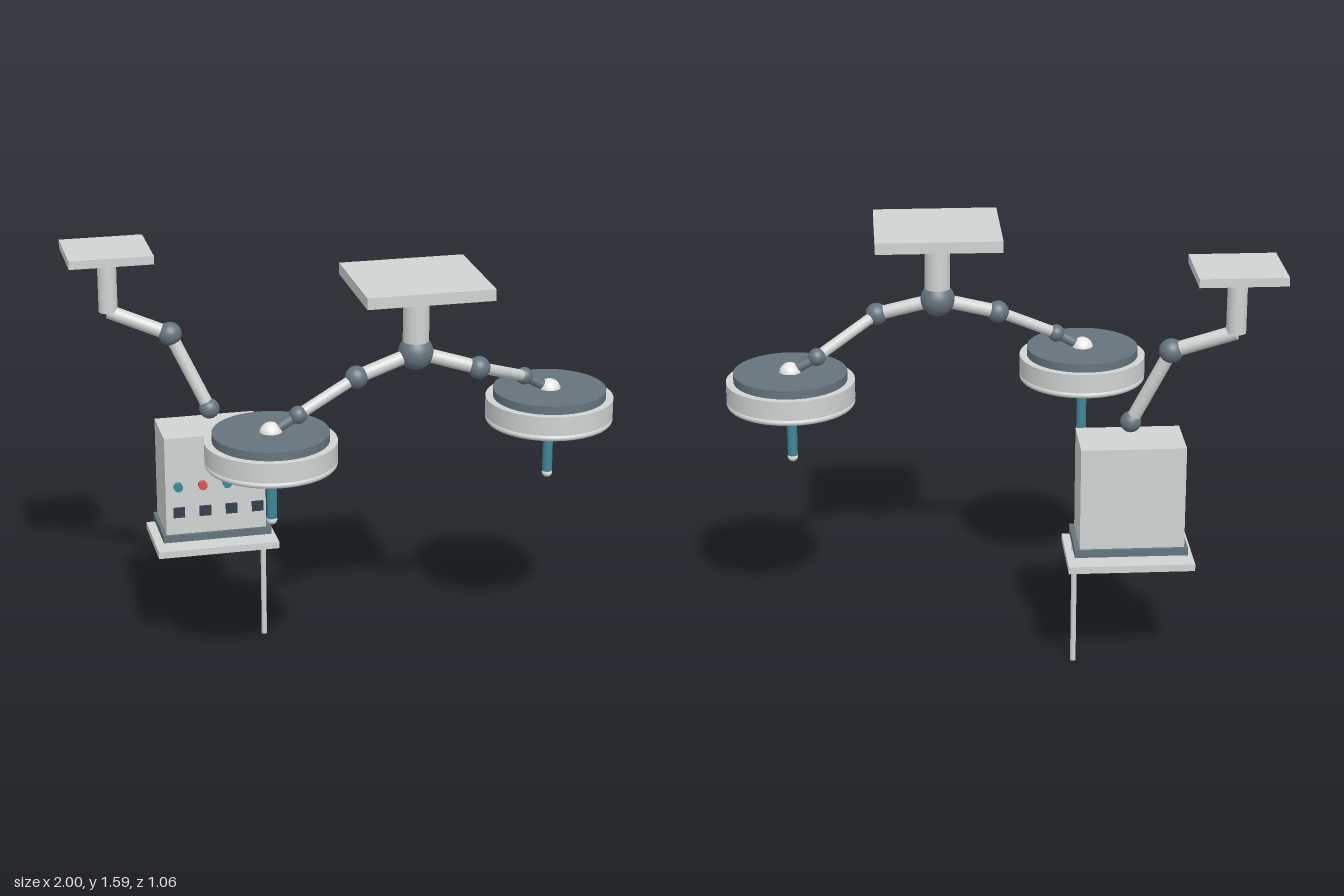
import * as THREE from 'three';

const mat = (name, color) => {
  const m = new THREE.MeshStandardMaterial({ color });
  m.name = name;
  return m;
};
const V = (x, y, z) => new THREE.Vector3(x, y, z);

export function createModel() {
  const panel = mat('light grey panel', 0xcfd3d1);
  const white = mat('white enamel', 0xe6e7e4);
  const slate = mat('slate joint', 0x66737c);
  const face = mat('dark lamp face', 0x6f7478);
  const teal = mat('teal grip', 0x3f8798);
  const red = mat('red button', 0xd9534f);
  const ink = mat('dark knob', 0x333f4b);

  const model = new THREE.Group();
  model.name = 'ceilingLampsAndControlUnit';

  const add = (parent, name, geo, material, p) => {
    const mesh = new THREE.Mesh(geo, material);
    mesh.name = name;
    mesh.position.copy(p);
    parent.add(mesh);
    return mesh;
  };
  const box = (parent, name, w, h, d, m, p) => add(parent, name, new THREE.BoxGeometry(w, h, d), m, p);
  const ball = (parent, name, r, m, p) => add(parent, name, new THREE.SphereGeometry(r, 28, 18), m, p);
  const disc = (parent, name, r, y0, y1, m, sides = 64) =>
    add(parent, name, new THREE.CylinderGeometry(r, r, y1 - y0, sides), m, V(0, (y0 + y1) / 2, 0));
  // Straight tube between two points
  const rod = (parent, name, a, b, r, m) => {
    const dir = b.clone().sub(a);
    const mesh = add(parent, name, new THREE.CylinderGeometry(r, r, dir.length(), 24), m,
      a.clone().add(b).multiplyScalar(0.5));
    mesh.quaternion.setFromUnitVectors(V(0, 1, 0), dir.normalize());
    return mesh;
  };

  // Lamp ceiling mount
  const mount = new THREE.Group();
  mount.name = 'lampMount';
  model.add(mount);
  const hub = V(0.2, 1.292, 0.203);
  box(mount, 'ceilingPlate', 0.47, 0.043, 0.443, panel, V(0.2, 1.56, 0.203));
  rod(mount, 'column', V(0.2, 1.54, 0.203), hub, 0.048, panel);
  ball(mount, 'hub', 0.065, slate, hub);

  // Surgical lamp head, origin on its axis at floor level
  const lampHead = (x, z) => {
    const g = new THREE.Group();
    g.name = 'lampHead';
    g.position.set(x, 0, z);
    disc(g, 'topCover', 0.213, 1.02, 1.063, slate);
    disc(g, 'housing', 0.241, 0.958, 1.031, panel);
    ball(g, 'swivel', 0.042, white, V(0, 1.056, 0));
    // Rounded lower rim around the light face
    const rim = add(g, 'lowerRim', new THREE.TorusGeometry(0.229, 0.012, 14, 72), panel, V(0, 0.946, 0));
    rim.rotation.x = Math.PI / 2;
    disc(g, 'lightFace', 0.222, 0.948, 0.96, face);
    // Rings of small lenses
    for (const [count, radius, r] of [[28, 0.165, 0.012], [16, 0.095, 0.012]]) {
      for (let i = 0; i < count; i++) {
        const a = (i / count) * Math.PI * 2;
        const lens = disc(g, 'lens', r, 0.943, 0.949, white, 12);
        lens.position.x = Math.cos(a) * radius;
        lens.position.z = Math.sin(a) * radius;
      }
    }
    for (const r of [0.13, 0.2]) {
      const ring = add(g, 'faceRing', new THREE.TorusGeometry(r, 0.004, 8, 48), slate, V(0, 0.947, 0));
      ring.rotation.x = Math.PI / 2;
    }
    // Grip
    disc(g, 'gripCollar', 0.034, 0.864, 0.95, slate, 28);
    disc(g, 'grip', 0.019, 0.722, 0.866, teal, 24);
    ball(g, 'gripTip', 0.02, white, V(0, 0.722, 0));
    model.add(g);
  };

  // Two jointed arms with their lamps
  const arms = [
    { name: 'rightLampArm', elbow: V(-0.03, 1.226, 0.238), wrist: V(-0.257, 1.118, 0.289), head: V(-0.358, 1.06, 0.289) },
    { name: 'leftLampArm', elbow: V(0.43, 1.226, 0.238), wrist: V(0.657, 1.118, 0.069), head: V(0.758, 1.06, 0.069) },
  ];
  for (const { name, elbow, wrist, head } of arms) {
    const arm = new THREE.Group();
    arm.name = name;
    model.add(arm);
    rod(arm, 'upperArm', hub, elbow, 0.026, panel);
    ball(arm, 'elbow', 0.042, slate, elbow);
    rod(arm, 'forearm', elbow, wrist, 0.021, panel);
    ball(arm, 'wrist', 0.033, slate, wrist);
    rod(arm, 'neck', wrist, head, 0.019, slate);
    lampHead(head.x, head.z);
  }

  // Control unit ceiling mount and arm
  const unit = new THREE.Group();
  unit.name = 'controlUnit';
  model.add(unit);
  const bend = V(-0.842, 1.34, -0.38);
  const joint = V(-0.62, 1.254, -0.321);
  const end = V(-0.485, 0.963, -0.267);
  box(unit, 'ceilingPlate', 0.316, 0.032, 0.294, panel, V(-0.842, 1.572, -0.381));
  rod(unit, 'column', V(-0.842, 1.56, -0.38), bend, 0.036, panel);
  rod(unit, 'upperArm', bend, joint, 0.027, panel);
  ball(unit, 'elbow', 0.045, slate, joint);
  rod(unit, 'lowerArm', joint, end, 0.025, panel);
  ball(unit, 'lowerJoint', 0.039, slate, end);

  // Cabinet, base, tray and pole
  box(unit, 'cabinet', 0.386, 0.394, 0.228, panel, V(-0.487, 0.7, -0.264));
  box(unit, 'cabinetBase', 0.418, 0.028, 0.252, slate, V(-0.484, 0.492, -0.265));
  box(unit, 'tray', 0.467, 0.027, 0.308, panel, V(-0.484, 0.44, -0.266));
  rod(unit, 'pole', V(-0.284, 0, -0.267), V(-0.284, 0.48, -0.267), 0.0105, panel);

  // Front buttons and sockets
  for (let i = 0; i < 4; i++) {
    const button = add(unit, 'button', new THREE.CylinderGeometry(0.017, 0.017, 0.02, 20),
      i % 2 ? red : teal, V(-0.632 + i * 0.094, 0.702, -0.142));
    button.rotation.x = Math.PI / 2;
    const x = -0.63 + i * 0.101;
    box(unit, 'switchPlate', 0.044, 0.04, 0.009, ink, V(x, 0.596, -0.147));
    box(unit, 'switchNub', 0.024, 0.012, 0.014, ink, V(x, 0.598, -0.138));
  }
  return model;
}
